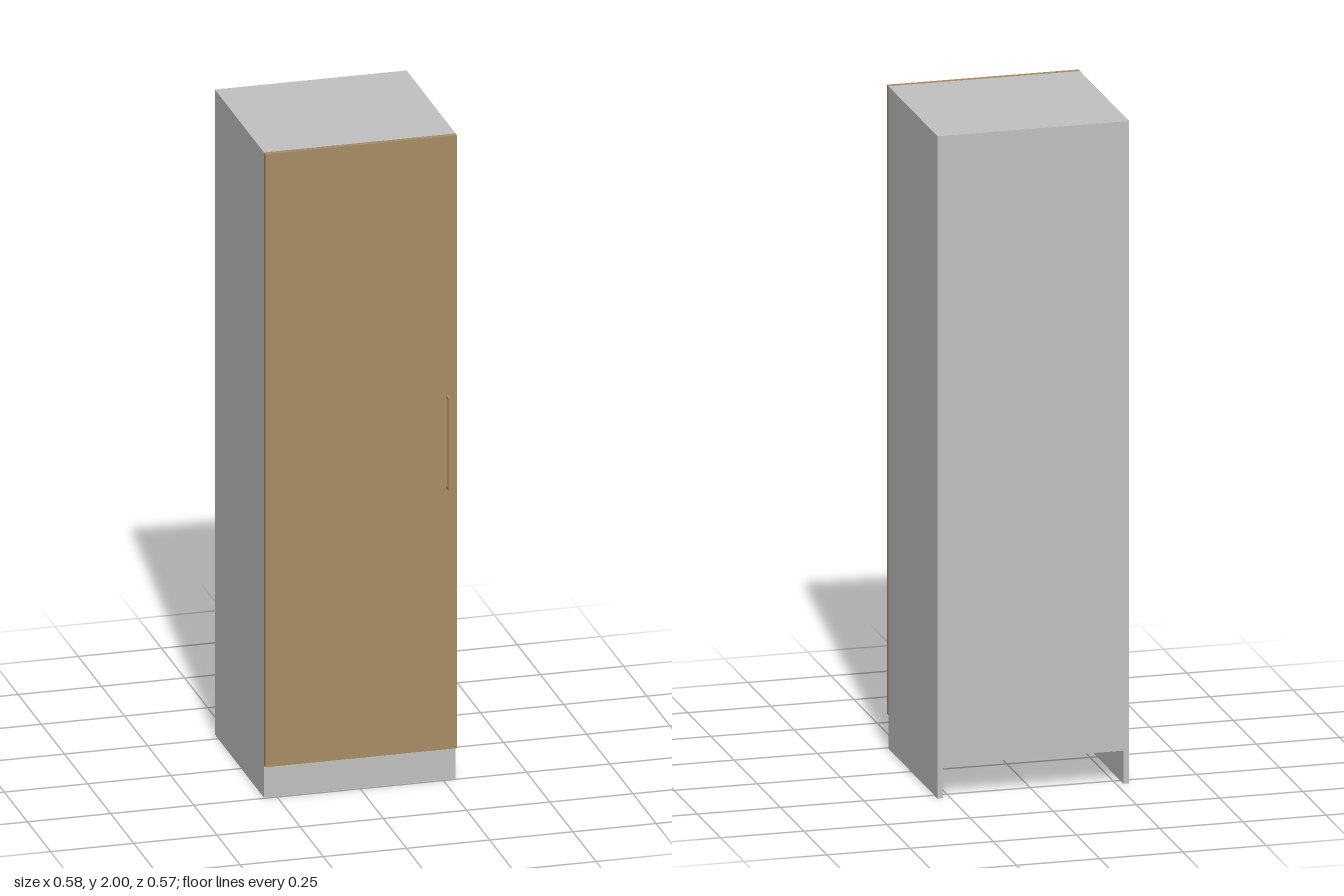
import * as THREE from 'three';

export function createModel() {
  const model = new THREE.Group();
  model.name = 'tallCabinet';

  const grey = new THREE.MeshStandardMaterial({ color: 0xc0c0c0 });
  grey.name = 'light grey panel';
  const wood = new THREE.MeshStandardMaterial({ color: 0xa68c63 });
  wood.name = 'tan wood';

  // Box given by its lower and upper corners
  function panel(name, material, [x0, y0, z0], [x1, y1, z1], parent = model) {
    const mesh = new THREE.Mesh(new THREE.BoxGeometry(x1 - x0, y1 - y0, z1 - z0), material);
    mesh.position.set((x0 + x1) / 2, (y0 + y1) / 2, (z0 + z1) / 2);
    mesh.name = name;
    parent.add(mesh);
  }

  const W = 0.288, T = 0.017, BACK = -0.285, FRONT = 0.244, BASE = 0.1, TOP = 2;
  const inner = W - T;

  // Carcass: sides reach the floor, the back stops above the open plinth space
  panel('leftSide', grey, [inner, 0, BACK], [W, TOP, FRONT]);
  panel('rightSide', grey, [-W, 0, BACK], [-inner, TOP, FRONT]);
  panel('topPanel', grey, [-inner, TOP - T, BACK], [inner, TOP, FRONT]);
  panel('bottomPanel', grey, [-inner, BASE, BACK], [inner, BASE + T, FRONT]);
  panel('backPanel', grey, [-inner, BASE + T, BACK], [inner, TOP - T, BACK + T]);
  panel('plinth', grey, [-inner, 0, FRONT - T], [inner, BASE, FRONT]);

  // Door
  const doorFront = 0.26;
  panel('door', wood, [-W, BASE, FRONT], [W, TOP, doorFront]);

  // Bar handle on two short posts
  const handle = new THREE.Group();
  handle.name = 'handle';
  model.add(handle);
  const hx0 = 0.255, hx1 = 0.264, hy0 = 0.91, hy1 = 1.197, hz = 0.285, t = 0.008;
  panel('handleBar', wood, [hx0, hy0, hz - t], [hx1, hy1, hz], handle);
  for (const [name, y] of [['lowerPost', hy0], ['upperPost', hy1 - t]]) {
    panel(name, wood, [hx0, y, doorFront], [hx1, y + t, hz - t], handle);
  }

  return model;
}
